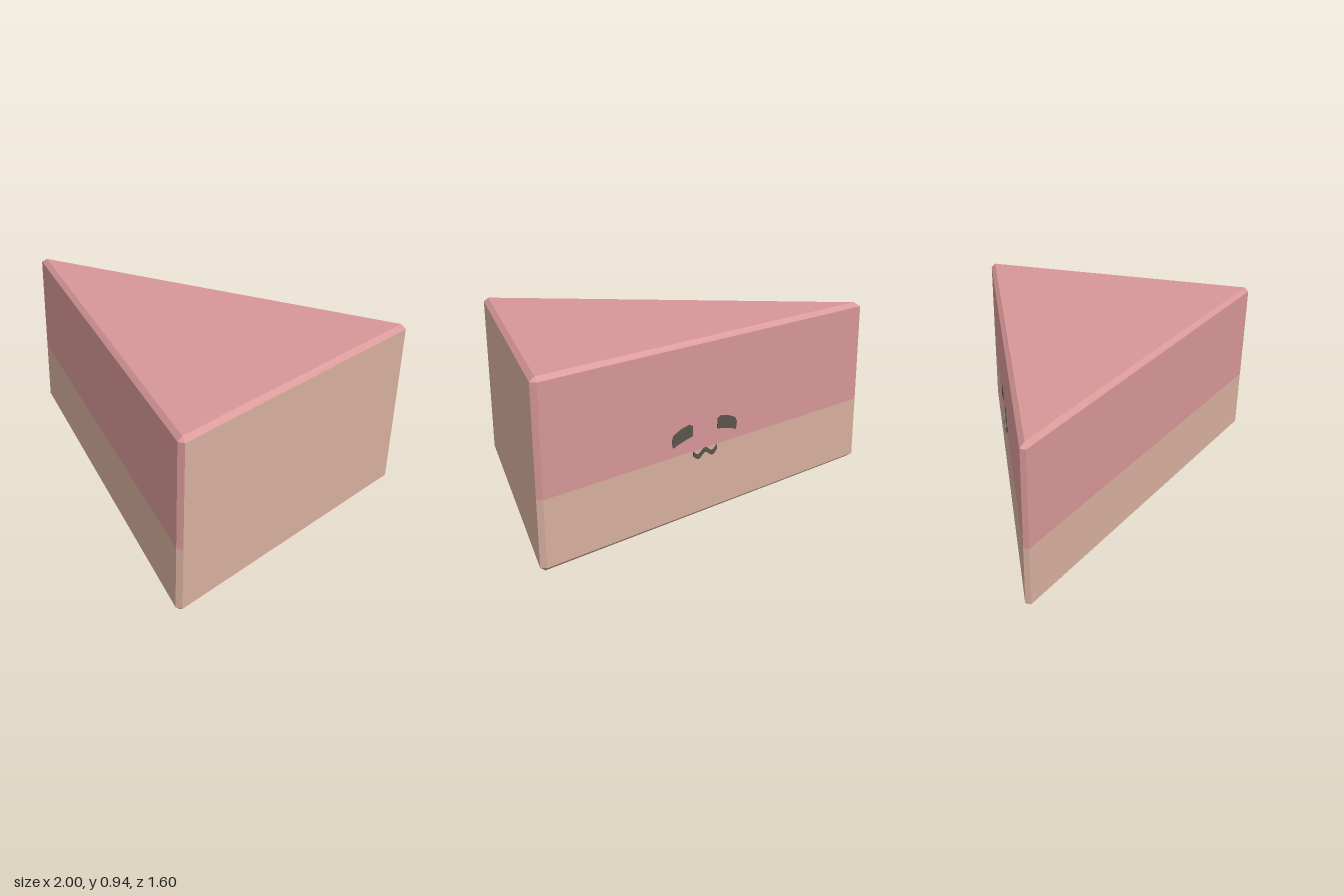
import * as THREE from 'three';

const pink = new THREE.MeshStandardMaterial({ color: 0xd89797 });
pink.name = 'pink frosting';
const tan = new THREE.MeshStandardMaterial({ color: 0xd8b09e });
tan.name = 'tan sponge';
const dark = new THREE.MeshStandardMaterial({ color: 0x5c544c });
dark.name = 'dark features';

// Chamfered wedge: outline of the walls and the inset triangle of the caps, as [x, z]
const ring = [[-1, 0.015], [0.97, 0.8], [1, 0.785], [1, -0.785], [0.97, -0.8], [-1, -0.015]];
const cap = [[-0.968, 0], [0.975, 0.778], [0.975, -0.778]];
const capOf = [0, 1, 1, 2, 2, 0];
const H = 0.94, BEVEL = 0.022, SPLIT = 0.365;

const at = ([x, z], y) => [x, y, z];

// Flat-shaded mesh from a list of convex faces
function faceMesh(name, material, faces) {
  const positions = [];
  for (const f of faces) {
    for (let i = 1; i < f.length - 1; i++) positions.push(...f[0], ...f[i], ...f[i + 1]);
  }
  const geometry = new THREE.BufferGeometry();
  geometry.setAttribute('position', new THREE.Float32BufferAttribute(positions, 3));
  geometry.computeVertexNormals();
  const mesh = new THREE.Mesh(geometry, material);
  mesh.name = name;
  return mesh;
}

// Thin plate from an outline
function plate(name, points) {
  const geometry = new THREE.ExtrudeGeometry(new THREE.Shape(points), { depth: 0.005, bevelEnabled: false });
  const mesh = new THREE.Mesh(geometry, dark);
  mesh.name = name;
  return mesh;
}

const vectors = (list) => list.map(([x, y]) => new THREE.Vector2(x, y));

export function createModel() {
  const model = new THREE.Group();
  model.name = 'cakeSlice';
  const upper = [], lower = [], end = [];
  const wall = (p, q, y0, y1) => [at(p, y0), at(q, y0), at(q, y1), at(p, y1)];

  ring.forEach((p, i) => {
    const j = (i + 1) % ring.length, q = ring[j];
    const cp = cap[capOf[i]], cq = cap[capOf[j]];
    // Walls: the broad end is plain sponge, the others are two layers
    if (i === 2) {
      end.push(wall(p, q, BEVEL, H - BEVEL));
    } else {
      lower.push(wall(p, q, BEVEL, SPLIT));
      upper.push(wall(p, q, SPLIT, H - BEVEL));
    }
    // Chamfers: quads along the sides, triangles at the corners
    const top = [at(p, H - BEVEL), at(q, H - BEVEL), at(cq, H)];
    const bottom = [at(q, BEVEL), at(p, BEVEL), at(cp, 0)];
    if (cp !== cq) {
      top.push(at(cp, H));
      bottom.push(at(cq, 0));
    }
    upper.push(top);
    lower.push(bottom);
  });
  upper.push(cap.map((c) => at(c, H)));
  lower.push([...cap].reverse().map((c) => at(c, 0)));

  model.add(
    faceMesh('frostingLayer', pink, upper),
    faceMesh('spongeLayer', tan, lower),
    faceMesh('spongeEnd', tan, end)
  );

  // Little face on the rear long side
  const face = new THREE.Group();
  face.name = 'face';
  face.position.set(0.08, 0, -0.445);
  face.rotation.y = Math.atan2(-0.785, -1.97);
  const eye = [[0.085, 0.505], [0.105, 0.515], [0.155, 0.505], [0.205, 0.482],
    [0.217, 0.455], [0.21, 0.415], [0.185, 0.425], [0.13, 0.44], [0.082, 0.45]];
  face.add(plate('rightEye', vectors(eye)));
  face.add(plate('leftEye', vectors(eye.map(([x, y]) => [-x, y]))));

  // Wavy mouth: a strip of even thickness along a curve
  const line = new THREE.SplineCurve(vectors([[-0.078, 0.35], [-0.045, 0.328], [0, 0.355], [0.045, 0.328], [0.078, 0.35]]));
  const path = line.getPoints(24);
  const edge = (dy) => path.map((p) => new THREE.Vector2(p.x, p.y + dy));
  face.add(plate('mouth', [...edge(-0.013), ...edge(0.013).reverse()]));
  model.add(face);
  return model;
}
